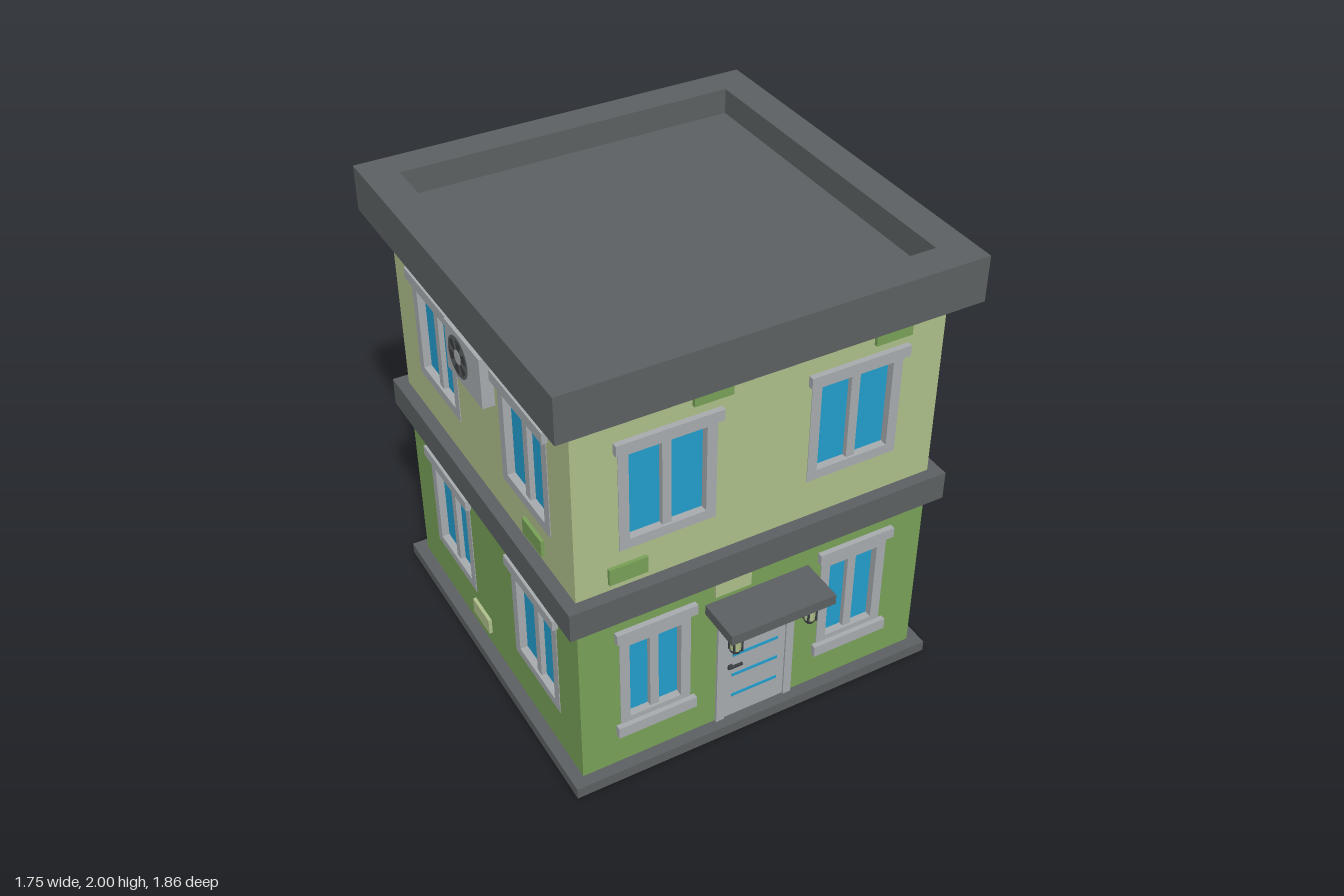
import * as THREE from 'three';

const mat = (name, color, extra = {}) => {
  const m = new THREE.MeshStandardMaterial({ color, ...extra });
  m.name = name;
  return m;
};

const W = 1.566, H = W / 2, T = 0.06, ZC = -0.052; // wall width, half, thickness, body centre

export function createModel() {
  const dark = mat('darkTrim', 0x5c6062);
  const lime = mat('lightGreen', 0xaebf8a);
  const green = mat('green', 0x78a058);
  const grey = mat('lightGrey', 0xa7abae);
  const blue = mat('glassBlue', 0x229dcc);
  const black = mat('charcoal', 0x3c3f41);

  const model = new THREE.Group();
  model.name = 'house';

  const add = (parent, name, geo, material, x = 0, y = 0, z = 0) => {
    const m = new THREE.Mesh(geo, material);
    m.name = name;
    m.position.set(x, y, z);
    parent.add(m);
    return m;
  };
  // Box given by centre x, bottom/top y, back/front z
  const slab = (parent, name, material, x, w, y0, y1, z0, z1) =>
    add(parent, name, new THREE.BoxGeometry(w, y1 - y0, z1 - z0), material, x, (y0 + y1) / 2, (z0 + z1) / 2);

  const rect = (Kind, x0, x1, y0, y1) => {
    const p = new Kind();
    p.moveTo(x0, y0);
    p.lineTo(x1, y0);
    p.lineTo(x1, y1);
    p.lineTo(x0, y1);
    p.closePath();
    return p;
  };
  // Plate with rectangular openings; bounds are [x0, x1, y0, y1]
  const plate = (outer, holes, depth) => {
    const s = rect(THREE.Shape, ...outer);
    holes.forEach(h => s.holes.push(rect(THREE.Path, ...h)));
    return new THREE.ExtrudeGeometry(s, { depth, bevelEnabled: false });
  };

  // Windows: u = centre along the wall, w = frame width, y range of the frame
  const addWindow = (face, { u, w, y0, y1, g0, g1, gw, sill }) => {
    const win = new THREE.Group();
    win.name = 'window';
    win.position.x = u;
    face.add(win);
    add(win, 'windowFrame', plate([-w / 2, w / 2, y0, y1], [[-gw / 2, gw / 2, g0, g1]], 0.045), grey, 0, 0, H - 0.042);
    slab(win, 'windowGlass', blue, 0, gw, g0, g1, H - 0.04, H - 0.03);
    slab(win, 'windowMullion', grey, 0, 0.038, g0, g1, H - 0.035, H - 0.008);
    const lw = sill ? 0.35 : 0.435;
    slab(win, 'windowLintel', grey, 0, lw, y1, y1 + 0.047, H - 0.02, H + 0.024);
    if (sill) slab(win, 'windowSill', grey, 0, lw, y0 - 0.053, y0, H - 0.02, H + 0.024);
  };
  const upper = u => ({ u, w: 0.402, y0: 1.157, y1: 1.608, g0: 1.2, g1: 1.585, gw: 0.317 });
  const lower = u => ({ u, w: 0.402, y0: 0.245, y1: 0.715, g0: 0.285, g1: 0.67, gw: 0.317 });
  const narrow = u => ({ u, w: 0.312, y0: 0.26, y1: 0.715, g0: 0.285, g1: 0.67, gw: 0.226, sill: true });

  // Air conditioner with round fan on its outer side
  const addAirConditioner = (face, u, y) => {
    const ac = new THREE.Group();
    ac.name = 'airConditioner';
    ac.position.set(u, y, H);
    face.add(ac);
    slab(ac, 'airConditionerCase', grey, 0, 0.315, -0.11, 0.11, -0.01, 0.052);
    const disc = (name, r, m, z) =>
      add(ac, name, new THREE.CylinderGeometry(r, r, 0.004, 24), m, -0.045, 0, z).rotation.x = Math.PI / 2;
    disc('fanGrille', 0.088, dark, 0.052);
    for (let i = 0; i < 6; i++) {
      const blade = new THREE.RingGeometry(0.034, 0.076, 6, 1, i * Math.PI / 3, Math.PI / 5);
      add(ac, 'fanBlade', blade, black, -0.045, 0, 0.0548);
    }
    disc('fanHub', 0.03, grey, 0.0535);
  };

  // The four faces, each laid out in its own outward-facing frame
  const both = (kind, d) => [kind(-d), kind(d)];
  const faces = [
    { name: 'frontWall', turn: 0, low: both(narrow, 0.455),
      highBricks: [[-0.223, 1.738], [0.543, 1.733], [-0.57, 1.057]], lowBricks: [[-0.118, 0.79]] },
    { name: 'leftWall', turn: 1, low: both(lower, 0.4),
      highBricks: [[0.516, 1.733], [-0.476, 1.065]], lowBricks: [[0.03, 0.79], [0.003, 0.29], [-0.13, 0.155]] },
    { name: 'backWall', turn: 2, low: [], ac: [-0.45, 0.668],
      highBricks: [[0.545, 1.72], [-0.215, 1.062]], lowBricks: [[0.28, 0.6], [-0.245, 0.254]] },
    { name: 'rightWall', turn: 3, low: both(lower, 0.4), ac: [0.01, 1.587],
      highBricks: [[-0.53, 1.733], [0.457, 1.06]], lowBricks: [[-0.14, 0.155]] },
  ];
  const opening = o => [o.u - o.w / 2, o.u + o.w / 2, o.y0, o.y1];
  let front;
  for (const f of faces) {
    const face = new THREE.Group();
    face.name = f.name;
    face.position.z = ZC;
    face.rotation.y = f.turn * Math.PI / 2;
    model.add(face);
    if (f.turn === 0) front = face;
    const half = f.turn % 2 ? H - T : H;
    const high = both(upper, 0.4);
    add(face, 'lowerWall', plate([-half, half, 0.04, 0.88], f.low.map(opening), T), green, 0, 0, H - T);
    add(face, 'upperWall', plate([-half, half, 0.96, 1.83], high.map(opening), T), lime, 0, 0, H - T);
    [...f.low, ...high].forEach(o => addWindow(face, o));
    const brick = m => ([u, y]) => slab(face, 'brick', m, u, 0.16, y - 0.037, y + 0.037, H - 0.01, H + 0.015);
    f.highBricks.forEach(brick(green));
    f.lowBricks.forEach(brick(lime));
    if (f.ac) addAirConditioner(face, ...f.ac);
  }

  // Base, middle band and roof with sunken deck
  slab(model, 'base', dark, 0, 1.67, 0, 0.05, ZC - 0.835, ZC + 0.835);
  slab(model, 'middleBand', dark, 0, 1.67, 0.858, 0.985, ZC - 0.835, ZC + 0.835);
  const R = 0.877, D = 0.737;
  const rim = add(model, 'roofRim', plate([-R, R, -R, R], [[-D, D, -D, D]], 0.195), dark, 0, 1.805, ZC);
  rim.rotation.x = -Math.PI / 2;
  slab(model, 'roofDeck', dark, 0, 2 * D, 1.806, 1.89, ZC - D, ZC + D);

  // Door with glass strips and handle
  const door = new THREE.Group();
  door.name = 'door';
  front.add(door);
  for (const s of [-1, 1]) slab(door, 'doorJamb', grey, s * 0.161, 0.037, 0.05, 0.68, H - 0.01, H + 0.012);
  slab(door, 'doorHead', grey, 0, 0.285, 0.645, 0.68, H - 0.01, H + 0.012);
  slab(door, 'doorLeaf', grey, 0, 0.285, 0.05, 0.645, H - 0.01, H + 0.004);
  for (const y of [0.165, 0.28, 0.39, 0.505]) slab(door, 'doorStrip', blue, 0, 0.214, y - 0.007, y + 0.007, H, H + 0.007);
  slab(door, 'handlePlate', black, -0.117, 0.02, 0.322, 0.344, H, H + 0.009);
  slab(door, 'handleLever', black, -0.095, 0.062, 0.328, 0.339, H + 0.009, H + 0.018);

  // Canopy and its two hanging lanterns
  slab(model, 'canopy', dark, 0, 0.47, 0.674, 0.72, 0.72, 0.93);
  for (const x of [-0.17, 0.17]) {
    const lamp = new THREE.Group();
    lamp.name = 'lantern';
    lamp.position.set(x, 0, 0.855);
    model.add(lamp);
    const ring = (name, m, rTop, rBottom, y0, y1) =>
      add(lamp, name, new THREE.CylinderGeometry(rTop, rBottom, y1 - y0, 8).toNonIndexed(), m, 0, (y0 + y1) / 2, 0)
        .geometry.computeVertexNormals();
    ring('lanternMount', dark, 0.036, 0.036, 0.655, 0.676);
    ring('lanternCap', black, 0.028, 0.031, 0.635, 0.656);
    ring('lanternGlass', lime, 0.026, 0.022, 0.563, 0.636);
    ring('lanternFoot', black, 0.027, 0.018, 0.55, 0.566);
    for (let i = 0; i < 4; i++) {
      const a = Math.PI / 4 + i * Math.PI / 2;
      slab(lamp, 'lanternBar', black, Math.cos(a) * 0.026, 0.007, 0.56, 0.64,
        Math.sin(a) * 0.026 - 0.0035, Math.sin(a) * 0.026 + 0.0035);
    }
  }
  return model;
}
